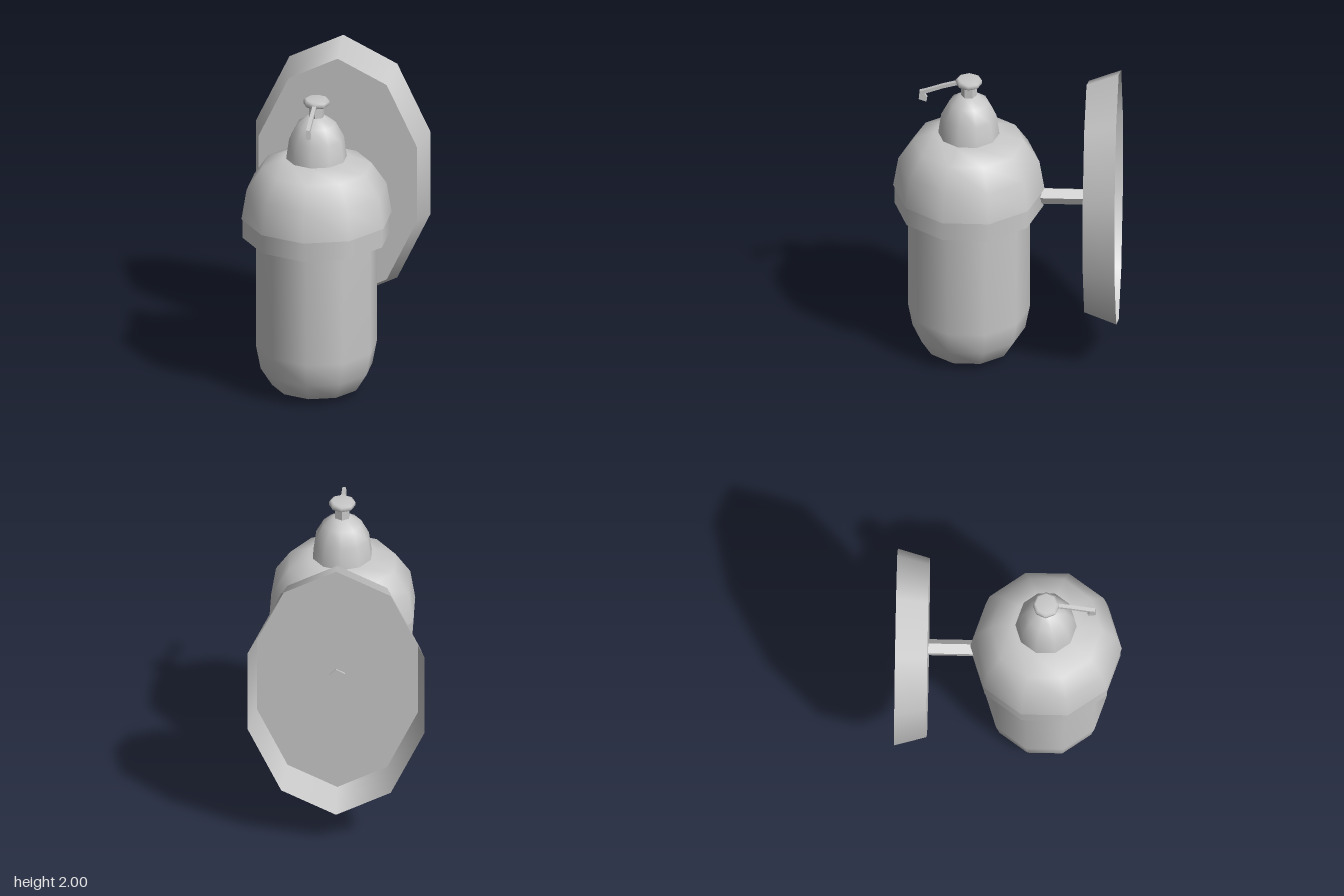
import * as THREE from 'three';
import { toCreasedNormals } from 'three/addons/utils/BufferGeometryUtils.js';

const AXIS_Z = 0.23; // vertical axis of the dispenser

export function createModel() {
  const group = new THREE.Group();
  const grey = new THREE.MeshStandardMaterial({ color: 0xc8c8c8, side: THREE.DoubleSide });
  grey.name = 'plain grey';

  function add(name, geometry, x = 0, y = 0, z = 0) {
    const mesh = new THREE.Mesh(geometry, grey);
    mesh.name = name;
    mesh.position.set(x, y, z);
    group.add(mesh);
    return mesh;
  }
  // Turned part from [radius, height] pairs, listed bottom to top
  function turned(name, profile, sides) {
    const points = profile.map(([r, y]) => new THREE.Vector2(r, y));
    return add(name, new THREE.LatheGeometry(points, sides), 0, 0, AXIS_Z);
  }

  // Bottle with rounded base
  turned('bottle', [[0, 0.003], [0.175, 0.005], [0.278, 0.045], [0.35, 0.16], [0.378, 0.31], [0.378, 1.1]], 10);

  // Holder collar and its flat underside
  turned('collar', [[0.462, 1.04], [0.462, 1.165]], 10);
  turned('collarUnderside', [[0.36, 1.04], [0.462, 1.04]], 10);

  // Domed shoulder and its lip
  turned('shoulderLip', [[0.44, 1.165], [0.47, 1.165]], 10);
  turned('shoulder', [[0.47, 1.165], [0.438, 1.36], [0.343, 1.5], [0.21, 1.555], [0, 1.56]], 10);

  // Neck and pump
  turned('neck', [[0.19, 1.555], [0.172, 1.687], [0.122, 1.783], [0.055, 1.83], [0, 1.832]], 10);
  add('pumpStem', toCreasedNormals(new THREE.CylinderGeometry(0.05, 0.05, 0.09, 6), 0.5), 0, 1.868, AXIS_Z);
  turned('pumpCap', [[0, 1.903], [0.07, 1.903], [0.082, 1.913], [0.082, 1.936], [0.066, 1.947], [0, 1.947]], 8);

  // Bent spout, drawn in side profile (z, y) and given a slim width
  const outline = [
    [0.29, 1.926], [0.31, 1.926], [0.39, 1.903], [0.5, 1.864], [0.535, 1.855], [0.541, 1.797],
    [0.493, 1.78], [0.488, 1.81], [0.506, 1.836], [0.39, 1.879], [0.31, 1.902], [0.29, 1.902],
  ];
  const spoutShape = new THREE.Shape(outline.map(([z, y]) => new THREE.Vector2(-z, y)));
  const spout = new THREE.ExtrudeGeometry(spoutShape, { depth: 0.024, bevelEnabled: false });
  spout.translate(0, 0, -0.012).rotateY(Math.PI / 2);
  add('spout', spout);

  // Five-sided arm joining collar and wall plate, poking just through the plate
  const arm = new THREE.CylinderGeometry(0.053, 0.053, 0.41, 5);
  arm.rotateX(Math.PI / 2).rotateZ(THREE.MathUtils.degToRad(100));
  add('arm', toCreasedNormals(arm, 0.5), 0, 1.117, -0.305);

  // Oval wall plate: flat face with a flared, open-backed rim
  const OVAL = 0.653;
  const rim = new THREE.CylinderGeometry(0.805, 0.885, 0.2, 10, 1, true);
  rim.rotateX(Math.PI / 2).scale(OVAL, 1, 1);
  add('plateRim', rim, 0, 1.115, -0.6);
  const face = new THREE.CircleGeometry(0.805, 10);
  face.rotateZ(Math.PI / 2).scale(OVAL, 1, 1);
  add('plateFace', face, 0, 1.115, -0.5);

  return group;
}
